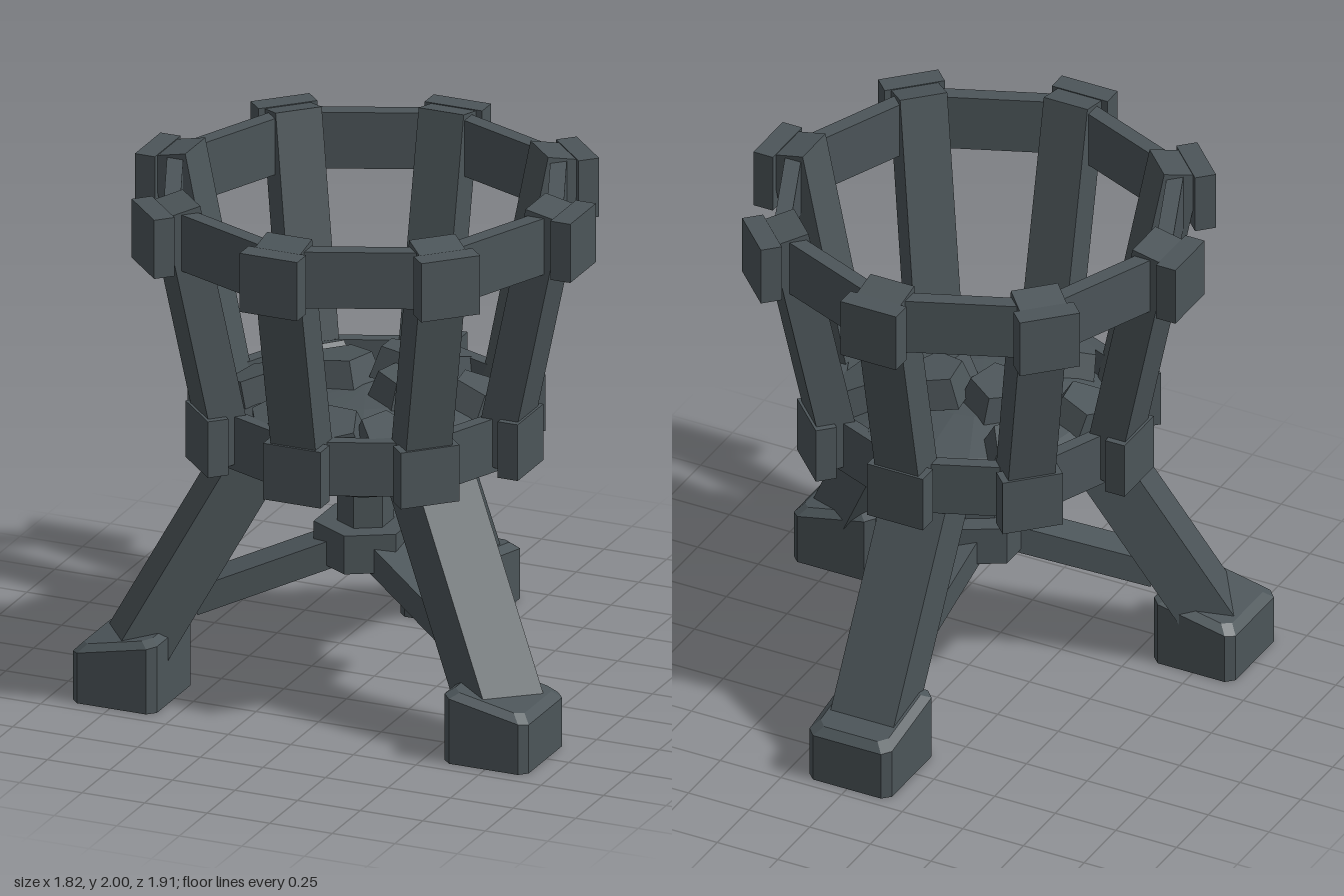
import * as THREE from 'three';
import { ConvexGeometry } from 'three/addons/geometries/ConvexGeometry.js';

const iron = new THREE.MeshStandardMaterial({ color: 0x4c5559, flatShading: true });
iron.name = 'dark iron';

const CZ = 0.08; // z of the basket's axis

function add(parent, name, geometry, x = 0, y = 0, z = 0) {
  const mesh = new THREE.Mesh(geometry, iron);
  mesh.name = name;
  mesh.position.set(x, y, z);
  parent.add(mesh);
  return mesh;
}

// Group turned about the axis, so that its own +z points outwards
function spoke(parent, name, angle) {
  const g = new THREE.Group();
  g.name = name;
  g.rotation.y = angle;
  parent.add(g);
  return g;
}

// Square beam in the radial plane, from (radius, height) to (radius, height)
function beam(parent, name, r0, y0, r1, y1, width, thick) {
  const len = Math.hypot(r1 - r0, y1 - y0);
  const m = add(parent, name, new THREE.BoxGeometry(width, len, thick), 0, (y0 + y1) / 2, (r0 + r1) / 2);
  m.rotation.x = Math.atan2(r1 - r0, y1 - y0);
  return m;
}

// Chamfered foot block whose top falls towards local +z
function footGeometry(w, d) {
  const pts = [];
  const ring = (inset, drop, base) => {
    const a = w / 2 - inset, b = d / 2 - inset, c = 0.03;
    for (const sx of [-1, 1]) for (const sz of [-1, 1]) {
      for (const [x, z] of [[a - c, b], [a, b - c]]) {
        const y = base ? 0 : 0.25 - drop - (sz * z / d) * 0.07;
        pts.push(new THREE.Vector3(sx * x, y, sz * z));
      }
    }
  };
  ring(0, 0, true);
  ring(0, 0.025, false);
  ring(0.03, 0, false);
  return new ConvexGeometry(pts);
}

// Height of the coal bed at a given radius
const bedHeight = r => 1.17 - 0.45 * r * r;

export function createModel() {
  const model = new THREE.Group();
  model.name = 'brazier';
  const body = new THREE.Group();
  body.name = 'body';
  body.position.z = CZ;
  model.add(body);

  // Basket: eight leaning slats with caps, joined by two rings of rails
  for (let i = 0; i < 8; i++) {
    const g = spoke(body, 'basketSide', i * Math.PI / 4);
    beam(g, 'slat', 0.537, 0.97, 0.75, 1.985, 0.18, 0.143);
    add(g, 'upperCap', new THREE.BoxGeometry(0.23, 0.23, 0.08), 0, 1.865, 0.83);
    add(g, 'lowerCap', new THREE.BoxGeometry(0.23, 0.22, 0.08), 0, 1.05, 0.62);
    const h = spoke(body, 'basketRails', (i + 0.5) * Math.PI / 4);
    add(h, 'upperRail', new THREE.BoxGeometry(0.59, 0.22, 0.06), 0, 1.865, 0.70);
    add(h, 'lowerRail', new THREE.BoxGeometry(0.45, 0.21, 0.05), 0, 1.05, 0.515);
  }

  // Bowl
  const bowl = [[0, 0.83], [0.2, 0.835], [0.4, 0.885], [0.52, 0.95], [0.53, 1.1]];
  add(body, 'bowl', new THREE.LatheGeometry(bowl.map(p => new THREE.Vector2(...p)), 16));

  // Coal bed, domed
  const bed = [0.54, 0.4, 0.2, 0].map(r => new THREE.Vector2(r, bedHeight(r)));
  add(body, 'coalBed', new THREE.LatheGeometry(bed, 16));

  // Coals: x, z (model space), radius, lift, turn
  const coals = [
    [-0.3, -0.19, 0.14, 0, 0.3], [0.13, -0.3, 0.14, 0, 0.9], [0.38, -0.07, 0.14, 0, 0.5],
    [-0.39, 0.15, 0.13, 0, 1.1], [0.16, 0.1, 0.13, 0, 0.1], [-0.12, 0.02, 0.15, 0, 0.7],
    [0.1, -0.05, 0.13, 0.04, 0.4], [0.36, 0.32, 0.13, 0, 0.2], [-0.18, 0.45, 0.13, 0, 0.8],
    [0.05, 0.48, 0.14, 0, 0.0], [0.23, 0.43, 0.12, 0, 1.0],
  ];
  const up = new THREE.Vector3(0, 1, 0);
  for (const [x, z, r, lift, turn] of coals) {
    const dz = z - CZ;
    const geo = new THREE.CylinderGeometry(r * 0.76, r, 0.12, 5);
    geo.rotateY(turn);
    const m = add(body, 'coal', geo, x, bedHeight(Math.hypot(x, dz)) + 0.03 + lift, dz);
    m.quaternion.setFromUnitVectors(up, new THREE.Vector3(0.9 * x, 1, 0.9 * dz).normalize());
  }

  // Central column and hub
  add(body, 'column', new THREE.CylinderGeometry(0.105, 0.105, 0.3, 6), 0, 0.72, 0);
  add(body, 'hub', new THREE.CylinderGeometry(0.19, 0.19, 0.15, 6), 0, 0.57, 0);

  // Three splayed legs with braces to the hub
  for (const a of [60, -60, 180]) {
    const g = spoke(body, 'legAssembly', a * Math.PI / 180);
    beam(g, 'leg', 0.865, 0.14, 0.385, 0.97, 0.26, 0.19);
    beam(g, 'brace', 0.1, 0.55, 0.64, 0.37, 0.14, 0.105);
  }

  // Feet, square to the model
  for (const s of [-1, 1]) {
    add(model, 'frontFoot', footGeometry(0.36, 0.336), s * 0.743, 0, 0.51).rotation.y = s * Math.PI / 2;
  }
  add(model, 'backFoot', footGeometry(0.34, 0.37), 0, 0, -0.772).rotation.y = Math.PI;

  return model;
}
